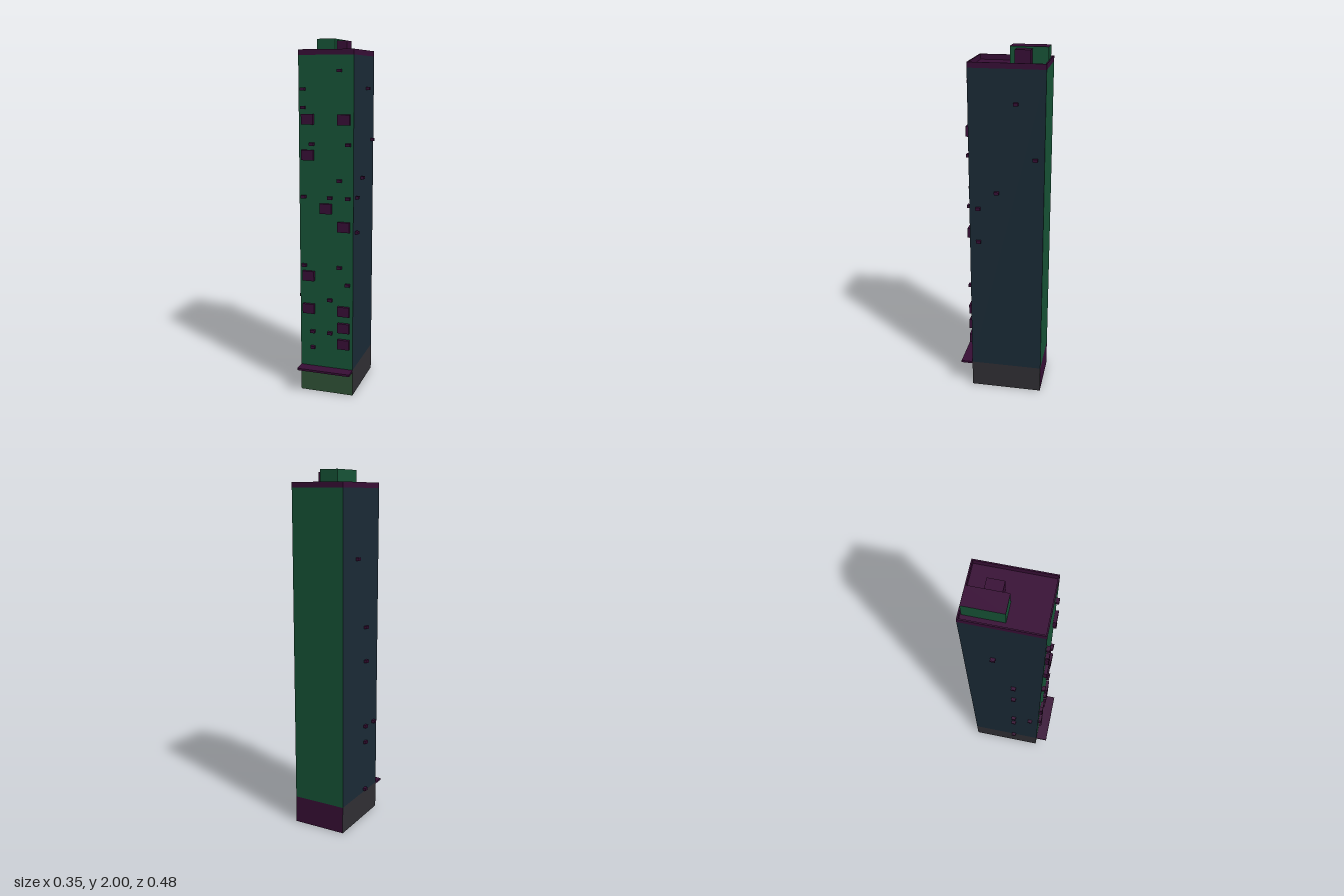
import * as THREE from 'three';

const X = 0.155, BACK = -0.24, FRONT = 0.172;   // footprint of the tower
const MID = (BACK + FRONT) / 2, DEPTH = FRONT - BACK;
const BASE = 0.155, EAVE = 1.908, TOP = 1.937;

const mat = (color) => new THREE.MeshStandardMaterial({ color, side: THREE.DoubleSide });
const green = mat(0x175437), slate = mat(0x1a2a36), purple = mat(0x380e36);
const shopGreen = mat(0x305236), shopGrey = mat(0x302f34);

export function createModel() {
  const model = new THREE.Group();

  const add = (name, geometry, material, x, y, z, parent = model) => {
    const mesh = new THREE.Mesh(geometry, material);
    mesh.name = name;
    mesh.position.set(x, y, z);
    parent.add(mesh);
    return mesh;
  };
  const box = (name, material, [x0, x1], [y0, y1], [z0, z1], parent) =>
    add(name, new THREE.BoxGeometry(x1 - x0, y1 - y0, z1 - z0), material,
      (x0 + x1) / 2, (y0 + y1) / 2, (z0 + z1) / 2, parent);

  // Four open-bottomed walls, each a ground floor panel and an upper panel
  const sides = [
    ['front', 0, FRONT, 0, 2 * X, shopGreen, green],
    ['back', 0, BACK, Math.PI, 2 * X, purple, green],
    ['left', X, MID, Math.PI / 2, DEPTH, shopGrey, slate],
    ['right', -X, MID, -Math.PI / 2, DEPTH, shopGrey, slate],
  ];
  for (const [name, x, z, turn, width, lower, upper] of sides) {
    add(name + 'GroundFloor', new THREE.PlaneGeometry(width, BASE), lower, x, BASE / 2, z).rotation.y = turn;
    add(name + 'Wall', new THREE.PlaneGeometry(width, EAVE - BASE), upper, x, (BASE + EAVE) / 2, z).rotation.y = turn;
  }

  // Parapet ring around a sunken flat roof
  const rect = (Cls, w, d) => new Cls([[-w, -d], [w, -d], [w, d], [-w, d]].map((p) => new THREE.Vector2(...p)));
  const ring = rect(THREE.Shape, X, DEPTH / 2);
  ring.holes.push(rect(THREE.Path, X - 0.007, DEPTH / 2 - 0.007));
  const parapet = new THREE.ExtrudeGeometry(ring, { depth: TOP - EAVE, bevelEnabled: false });
  add('parapet', parapet.rotateX(-Math.PI / 2), purple, 0, EAVE, MID);
  add('roof', new THREE.PlaneGeometry(2 * X, DEPTH).rotateX(-Math.PI / 2), purple, 0, EAVE, MID);

  // Stair house with a dark top, and the lower plant box beside it
  const stairHouse = box('stairHouse', green, [-0.115, -0.012], [EAVE, 2], [-0.228, -0.022]);
  stairHouse.material = [green, green, purple, purple, green, green];
  box('plantBox', purple, [-0.012, 0.048], [EAVE, 1.99], [-0.143, -0.058]);

  // Awning over the shop front
  box('awning', purple, [-X, X], [0.143, 0.155], [FRONT, 0.24]);

  // Large window boxes on the front, by column
  const out = 0.018;
  const largeBoxes = new THREE.Group();
  largeBoxes.name = 'largeWindowBoxes';
  const columns = [
    [-0.103, [1.57, 1.377, 0.695, 0.502]],
    [0, [1.085]],
    [0.103, [1.57, 0.987, 0.502, 0.404, 0.307]],
  ];
  for (const [x, rows] of columns) for (const y of rows)
    add('largeWindowBox', new THREE.BoxGeometry(0.068, 0.056, out), purple, x, y, FRONT + out / 2, largeBoxes);

  // Small air conditioners on the front, by column
  const coolers = new THREE.Group();
  coolers.name = 'airConditioners';
  const frontUnits = [
    [-0.129, [1.73, 1.633, 1.146, 0.755]],
    [-0.08, [1.437, 0.366, 0.27]],
    [0.023, [1.146, 0.562, 0.366]],
    [0.077, [1.827, 1.242, 0.755]],
    [0.126, [1.437, 1.146, 0.658]],
  ];
  for (const [x, rows] of frontUnits) for (const y of rows)
    add('frontAirConditioner', new THREE.BoxGeometry(0.026, 0.016, out), purple, x, y, FRONT + out / 2, coolers);

  // Small air conditioners on both flanks: [z, y]
  const flanks = [
    [1, [[-0.085, 1.73], [-0.19, 1.437], [0.018, 1.242], [0.122, 1.146], [0.122, 0.95]]],
    [-1, [[-0.085, 1.535], [0.018, 1.146], [0.018, 0.95], [0.122, 0.562],
      [0.018, 0.562], [0.018, 0.465], [0.018, 0.172]]],
  ];
  for (const [s, units] of flanks) for (const [z, y] of units)
    add('sideAirConditioner', new THREE.BoxGeometry(out, 0.016, 0.026), purple, s * (X + out / 2), y, z, coolers);

  model.add(largeBoxes, coolers);
  return model;
}
